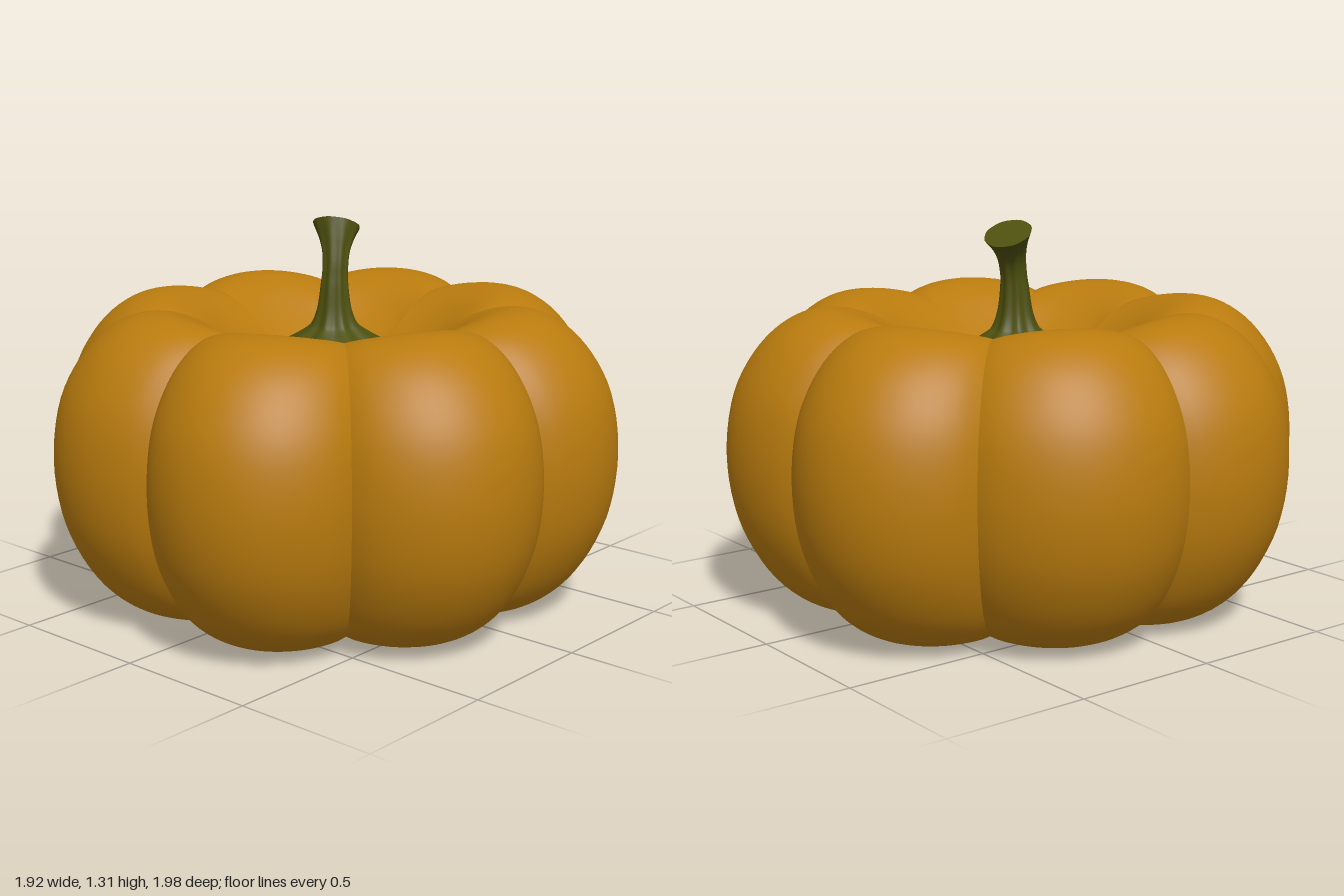
import * as THREE from 'three';
import { mergeVertices } from 'three/addons/utils/BufferGeometryUtils.js';

const CENTER_X = -0.02;
const MID_Y = 0.55;
const GROOVE = 0.89;

// Cross-section of a lobe from the underside, around the belly, into the top hollow
const bodyProfile = new THREE.SplineCurve([
  [0, 0.12], [0.2, 0.1], [0.45, 0.035], [0.62, 0.01], [0.76, 0.05], [0.88, 0.16], [0.97, 0.34],
  [1, 0.55], [0.97, 0.76], [0.88, 0.92], [0.76, 1.015], [0.63, 1.04], [0.5, 1.0], [0.35, 0.9],
  [0.2, 0.82], [0, 0.8],
].map(([r, y]) => new THREE.Vector2(r, y))).getPoints(75);

// One rounded wedge; separate wedges keep the grooves sharp
function lobeGeometry(index, bulge) {
  const segments = 20;
  const step = Math.PI / 4;
  const geo = new THREE.LatheGeometry(bodyProfile, segments, index * step, step);
  const pos = geo.attributes.position;
  for (let i = 0; i < pos.count; i++) {
    const u = Math.floor(i / bodyProfile.length) / segments;
    const swell = Math.pow(Math.max(0, Math.sin(Math.PI * u)), 0.8);
    const radial = GROOVE + (bulge - GROOVE) * swell;
    const y = pos.getY(i);
    const vertical = y > MID_Y ? 0.92 + 0.08 * swell : 0.96 + 0.04 * swell;
    pos.setXYZ(i, pos.getX(i) * radial, MID_Y + (y - MID_Y) * vertical, pos.getZ(i) * radial);
  }
  geo.computeVertexNormals();
  return geo;
}

// Stem stations: centre x, y, z, radius, tilt, rib depth
const stations = [
  [-0.02, 0.79, 0, 0.16, 0, 0.1], [-0.02, 0.83, 0, 0.212, 0, 0.1], [-0.02, 0.87, 0, 0.195, 0, 0.1],
  [-0.02, 0.915, 0, 0.125, 0, 0.1], [-0.02, 0.95, 0, 0.08, 0, 0.08], [-0.02, 1.0, 0, 0.061, 0, 0.06],
  [-0.022, 1.1, -0.004, 0.047, 0.05, 0.06], [-0.028, 1.17, -0.016, 0.045, 0.15, 0.05],
  [-0.045, 1.23, -0.038, 0.056, 0.35, 0.04], [-0.072, 1.285, -0.07, 0.082, 0.5, 0.01],
];
const axisCurve = new THREE.CatmullRomCurve3(stations.map((s) => new THREE.Vector3(s[0], s[1], s[2])));
const shapeCurve = new THREE.CatmullRomCurve3(stations.map((s) => new THREE.Vector3(s[3], s[4], s[5])));
const tiltAxis = new THREE.Vector3(-0.894, 0, 0.447).normalize();

// Point on the ribbed stem surface
function stemPoint(t, phi, scale = 1) {
  const shape = shapeCurve.getPoint(t);
  const r = shape.x * scale * (1 + shape.z * Math.cos(8 * (phi - 0.33)));
  return new THREE.Vector3(Math.sin(phi) * r, 0, Math.cos(phi) * r)
    .applyAxisAngle(tiltAxis, shape.y)
    .add(axisCurve.getPoint(t));
}

// Bends a lathe grid onto the stem surface; place(j) gives [t, scale] for row j
function stemGeometry(rows, place) {
  const segments = 64;
  const points = Array.from({ length: rows + 1 }, (_, j) => new THREE.Vector2(1, j));
  const geo = new THREE.LatheGeometry(points, segments);
  const pos = geo.attributes.position;
  for (let i = 0; i < pos.count; i++) {
    const phi = ((Math.floor(i / (rows + 1)) % segments) / segments) * Math.PI * 2;
    const [t, scale] = place(i % (rows + 1));
    const p = stemPoint(t, phi, scale);
    pos.setXYZ(i, p.x, p.y, p.z);
  }
  geo.deleteAttribute('uv');
  geo.deleteAttribute('normal');
  const merged = mergeVertices(geo, 1e-5);
  merged.computeVertexNormals();
  return merged;
}

export function createModel() {
  const group = new THREE.Group();
  group.name = 'pumpkin';
  const orange = new THREE.MeshStandardMaterial({ name: 'pumpkin orange', color: 0xb97b0e });
  const green = new THREE.MeshStandardMaterial({ name: 'stem green', color: 0x4d500e });

  // Body: eight slightly uneven lobes
  const body = new THREE.Group();
  body.name = 'body';
  body.position.x = CENTER_X;
  [1.04, 1.02, 0.995, 1.0, 1.04, 0.985, 0.985, 1.0].forEach((bulge, i) => {
    const lobe = new THREE.Mesh(lobeGeometry(i, bulge), orange);
    lobe.name = `lobe${i + 1}`;
    body.add(lobe);
  });
  group.add(body);

  // Stem with flared, ribbed foot and flat cut end
  const stem = new THREE.Mesh(stemGeometry(54, (j) => [j / 54, 1]), green);
  stem.name = 'stem';
  const cut = new THREE.Mesh(stemGeometry(1, (j) => [1, j ? 0 : 1]), green);
  cut.name = 'stemCutEnd';
  group.add(stem, cut);
  return group;
}
